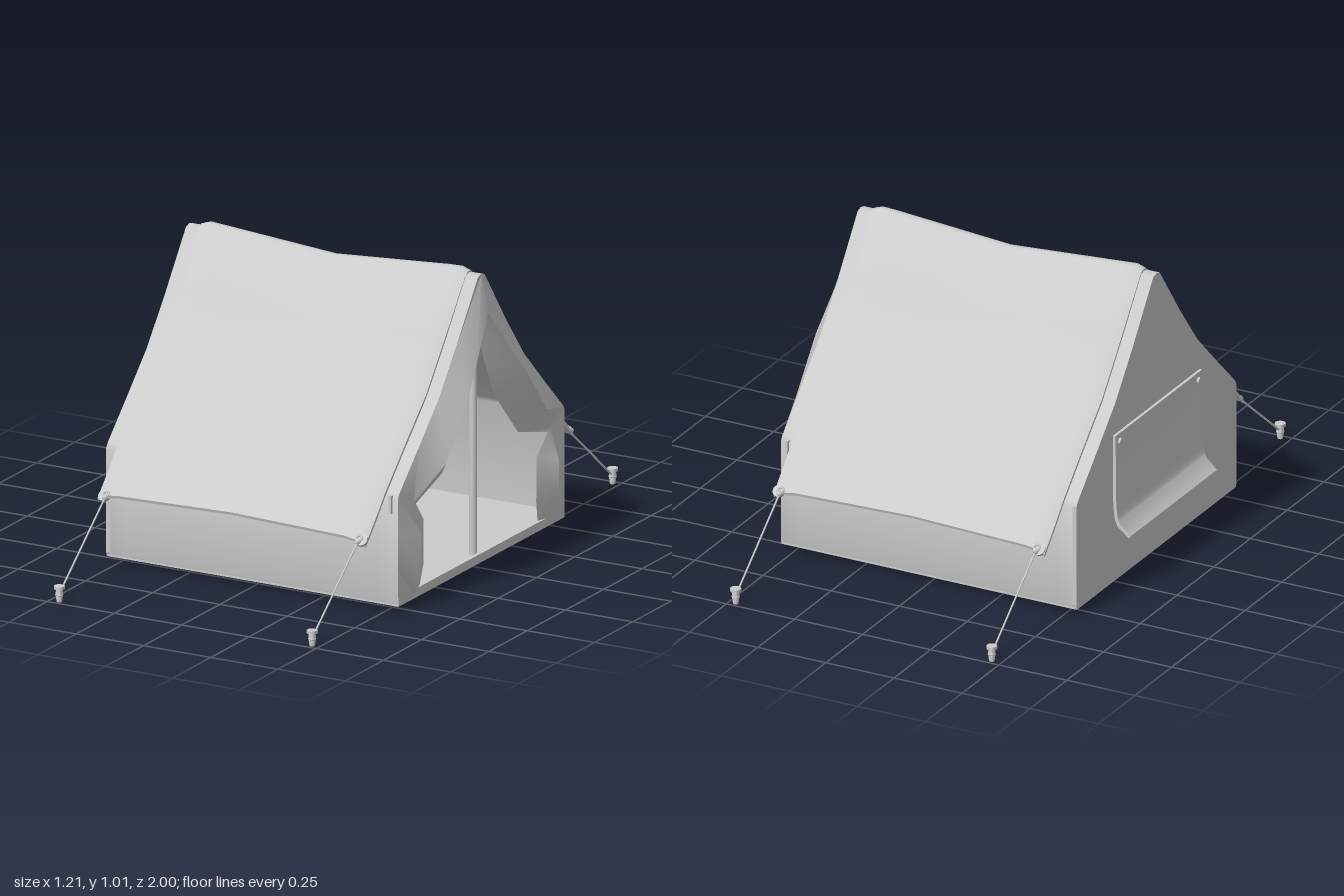
import * as THREE from 'three';
import { toCreasedNormals } from 'three/addons/utils/BufferGeometryUtils.js';

const mat = new THREE.MeshStandardMaterial({ color: 0xcccccc, side: THREE.DoubleSide });

function add(parent, name, geometry, x = 0, y = 0, z = 0) {
  const m = new THREE.Mesh(geometry, mat);
  m.name = name;
  m.position.set(x, y, z);
  parent.add(m);
  return m;
}

// Skin a surface over rows of [x, y, z] points
function loft(rows, closed, crease = 0.6) {
  const n = rows[0].length, index = [];
  for (let r = 0; r < rows.length - 1; r++) {
    for (let i = 0; i < (closed ? n : n - 1); i++) {
      const j = (i + 1) % n;
      const a = r * n + i, b = r * n + j, c = a + n, d = b + n;
      index.push(a, c, b, b, c, d);
    }
  }
  const g = new THREE.BufferGeometry();
  g.setAttribute('position', new THREE.Float32BufferAttribute(rows.flat(2), 3));
  g.setIndex(index);
  return toCreasedNormals(g, crease);
}

// Half profile [z, y] from ridge to eave, mirrored to a full chain
const mirrorChain = half => [
  ...half.slice().reverse(),
  ...half.filter(p => p[0] > 0).map(p => [-p[0], ...p.slice(1)]),
];

// Cloth shell: a profile swept along x, with thickness and closed ends
function clothShell(profile, inset, stations, place) {
  const under = profile.map(inset).reverse();
  const rows = stations.map(x => [...profile, ...under].map(p => place(x, p)));
  const cap = x => [...profile, ...profile.slice().reverse()].map(p => place(x, p));
  return loft([cap(stations[0]), ...rows, cap(stations.at(-1))], true);
}

const sagAt = x => Math.max(0, 1 - Math.abs(x) / 0.47);

const bodyHalf = [[0, 0.998], [0.022, 0.992], [0.16, 0.802], [0.28, 0.65], [0.41, 0.522],
  [0.535, 0.402], [0.545, 0.385], [0.545, 0.035], [0.54, 0.02]];
const roofHalf = [[0, 1.015], [0.012, 1.013], [0.028, 1.0], [0.16, 0.826], [0.285, 0.668],
  [0.42, 0.54], [0.545, 0.418], [0.61, 0.345], [0.68, 0.272]];

// Door flap half loops as [z, y, x]: frame edge, billowing fold, opening edge
const flapOuter = [[0, 0.995, 0.545], [0.14, 0.825, 0.545], [0.28, 0.65, 0.545], [0.41, 0.522, 0.545],
  [0.54, 0.395, 0.545], [0.545, 0.27, 0.545], [0.545, 0.15, 0.545], [0.545, 0.02, 0.545]];
const flapFold = [[0, 0.87, 0.572], [0.1, 0.74, 0.588], [0.2, 0.615, 0.603], [0.33, 0.455, 0.602],
  [0.45, 0.35, 0.55], [0.45, 0.25, 0.577], [0.455, 0.11, 0.577], [0.44, 0.03, 0.547]];
const flapInner = [[0, 0.81, 0.53], [0.04, 0.7, 0.53], [0.1, 0.56, 0.535], [0.25, 0.39, 0.54],
  [0.432, 0.34, 0.547], [0.37, 0.27, 0.54], [0.368, 0.12, 0.54], [0.385, 0.05, 0.535]];

export function createModel() {
  const tent = new THREE.Group();
  tent.name = 'tent';

  // Walls and inner roof, sagging at mid length
  add(tent, 'body', clothShell(mirrorChain(bodyHalf), ([z, y]) => [z * 0.975, y > 0.03 ? y - 0.012 : y],
    [-0.537, -0.47, -0.235, 0, 0.235, 0.47, 0.545],
    (x, [z, y]) => [x, y - 0.035 * sagAt(x) * Math.max(0, (y - 0.4) / 0.6), z]));
  add(tent, 'floor', new THREE.BoxGeometry(1.08, 0.022, 1.085), 0.004, 0.031, 0);

  // Closed rear wall
  const wall = new THREE.Shape(mirrorChain(bodyHalf).map(([z, y]) => new THREE.Vector2(z, y)));
  const wallGeo = new THREE.ExtrudeGeometry(wall, { depth: 0.015, bevelEnabled: false });
  add(tent, 'rearWall', wallGeo.rotateY(Math.PI / 2), -0.54, 0, 0);

  // Fly sheet with drooping ends and lifted eaves
  add(tent, 'flySheet', clothShell(mirrorChain(roofHalf), ([z, y]) => [z * 0.995, y - 0.01],
    [-0.495, -0.485, -0.465, -0.42, -0.21, 0, 0.21, 0.42, 0.47, 0.49, 0.5],
    (x, [z, y]) => {
      const k = (y - 0.27) / 0.745, t = sagAt(x);
      const droop = Math.max(0, Math.abs(x) - 0.465) * 0.35;
      const lift = Math.min(1, (0.5 - Math.abs(x)) / 0.08) * 0.008 * (1 - k);
      return [x, y + t * (0.01 - 0.045 * k) + lift - droop, z * (1 - 0.012 * t * (1 - k))];
    }));

  // Door flaps tied back, sill and centre pole
  const flapRows = [flapOuter, flapFold, flapInner].map(h => mirrorChain(h).map(([z, y, x]) => [x, y, z]));
  add(tent, 'doorFlaps', loft(flapRows, false));
  add(tent, 'doorSill', new THREE.BoxGeometry(0.015, 0.03, 1.08), 0.538, 0.035, 0);
  add(tent, 'doorPole', new THREE.CylinderGeometry(0.013, 0.013, 0.84, 12), 0.515, 0.46, 0);

  // Rear window cover, kicked out at its lower edge
  const cover = new THREE.Shape();
  cover.moveTo(-0.54, 0.54);
  cover.lineTo(-0.55, 0.54);
  cover.lineTo(-0.552, 0.32);
  cover.quadraticCurveTo(-0.553, 0.25, -0.567, 0.23);
  cover.lineTo(-0.604, 0.195);
  cover.lineTo(-0.598, 0.188);
  cover.lineTo(-0.558, 0.22);
  cover.quadraticCurveTo(-0.542, 0.24, -0.541, 0.32);
  const coverGeo = new THREE.ExtrudeGeometry(cover, { depth: 0.59, bevelEnabled: false, curveSegments: 6 });
  add(tent, 'windowCover', toCreasedNormals(coverGeo, 0.6), 0, 0, -0.297);
  for (const z of [-0.27, 0.265]) {
    add(tent, 'coverButton', new THREE.CylinderGeometry(0.011, 0.011, 0.012, 12).rotateZ(Math.PI / 2), -0.552, 0.513, z);
  }

  // Guy lines with eyelets, sliders and pegs at the four corners
  const pegProfile = [[0, 0], [0.009, 0], [0.012, 0.022], [0.014, 0.024], [0.012, 0.03], [0.011, 0.042],
    [0.018, 0.044], [0.018, 0.054], [0, 0.055]].map(p => new THREE.Vector2(...p));
  const pegGeo = toCreasedNormals(new THREE.LatheGeometry(pegProfile, 12), 0.6);
  for (const x of [-0.465, 0.475]) {
    for (const s of [-1, 1]) {
      const guy = new THREE.Group();
      guy.name = 'guyLine';
      tent.add(guy);
      const tab = new THREE.CylinderGeometry(0.021, 0.021, 0.01, 14).rotateX(s * 0.8);
      add(guy, 'cornerTab', tab, x + Math.sign(x) * 0.008, 0.272, s * 0.672);
      const eyelet = new THREE.TorusGeometry(0.01, 0.004, 6, 14).rotateX(Math.PI / 2 + s * 0.8);
      add(guy, 'eyelet', eyelet, x, 0.279, s * 0.677);
      add(guy, 'knot', new THREE.SphereGeometry(0.01, 10, 8), x, 0.27, s * 0.684);
      const line = new THREE.LineCurve3(new THREE.Vector3(x, 0.272, s * 0.68), new THREE.Vector3(x, 0.035, s * 0.972));
      add(guy, 'rope', new THREE.TubeGeometry(line, 1, 0.0035, 6));
      add(guy, 'peg', pegGeo, x, 0, s * 0.982);
    }
  }

  // Side toggles that hold the flaps
  for (const s of [-1, 1]) {
    add(tent, 'flapToggle', new THREE.BoxGeometry(0.01, 0.06, 0.012), 0.52, 0.365, s * 0.549);
  }
  return tent;
}
